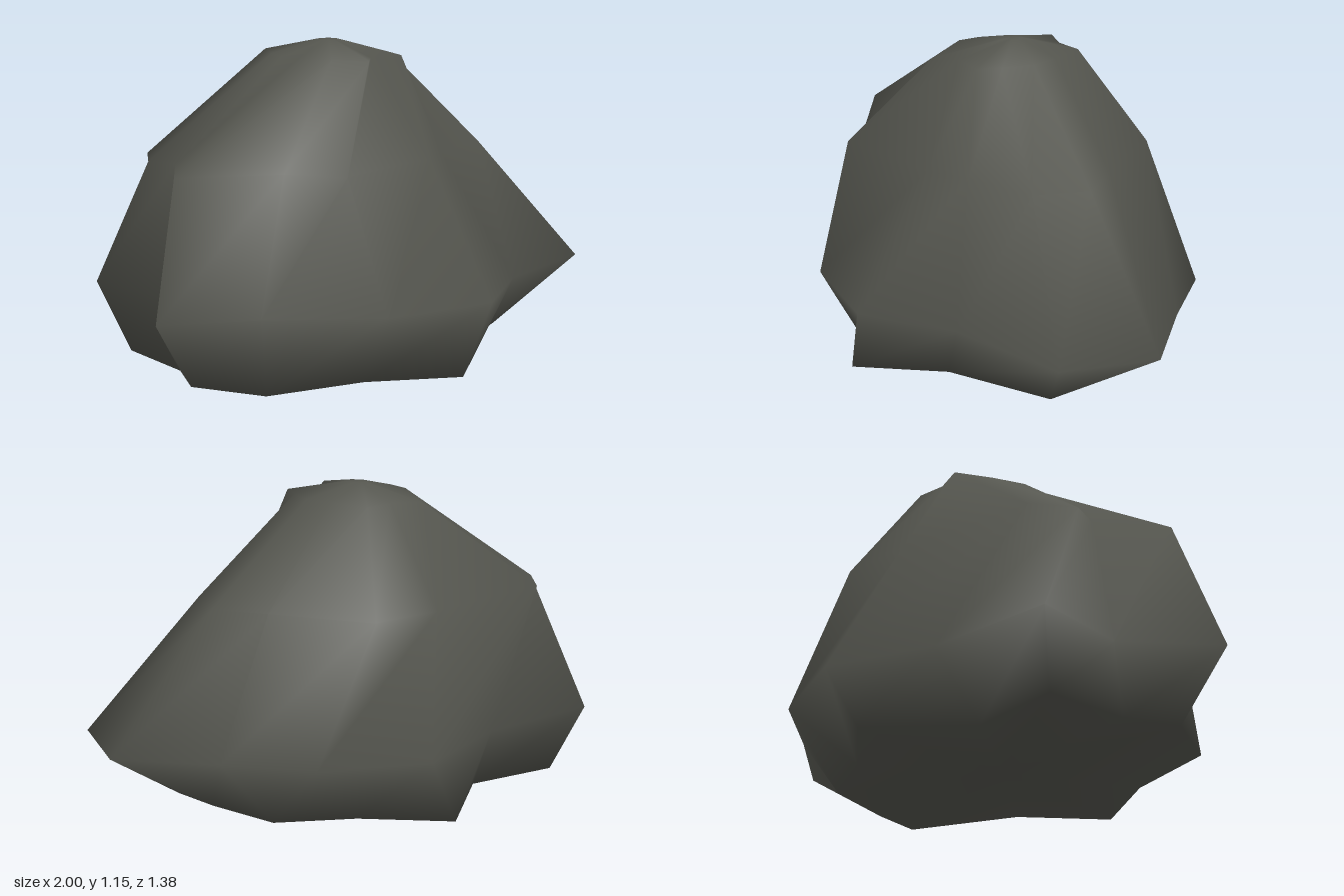
import * as THREE from 'three';

// Each level: height, then [x, z] corners going round from +x towards +z
const levels = [
  { y: 0, pts: [[0.58, 0], [0.61, 0.19], [0.22, 0.38], [-0.01, 0.66], [-0.32, 0.48], [-0.69, 0.39], [-0.82, 0.13],
    [-0.73, -0.06], [-0.71, -0.4], [-0.35, -0.37], [-0.04, -0.65], [0.23, -0.42], [0.5, -0.28]] },
  { y: 0.26, pts: [[1, 0], [0.9, 0.35], [0.43, 0.47], [0.1, 0.69], [-0.33, 0.62], [-0.68, 0.35], [-1, 0.18],
    [-0.75, -0.12], [-0.79, -0.5], [-0.3, -0.53], [0.1, -0.69], [0.49, -0.54], [0.72, -0.28]] },
  { y: 0.74, pts: [[0.57, 0], [0.5, 0.2], [0.22, 0.29], [0.08, 0.38], [-0.38, 0.46], [-0.52, 0.28], [-0.85, 0.09],
    [-0.68, -0.14], [-0.72, -0.25], [-0.62, -0.4], [-0.07, -0.49], [0.21, -0.5], [0.44, -0.17]] },
  { y: 1.1, pts: [[0.17, -0.02], [0.14, 0.1], [0.11, 0.19], [-0.03, 0.18], [-0.1, 0.25], [-0.18, 0.14], [-0.26, 0.04],
    [-0.26, -0.05], [-0.21, -0.17], [-0.14, -0.3], [-0.03, -0.26], [0.08, -0.27], [0.14, -0.13]] },
];

export function createModel() {
  const group = new THREE.Group();
  group.name = 'boulder';
  const stone = new THREE.MeshStandardMaterial({ color: 0x55564f });
  stone.name = 'dark grey stone';

  const n = levels[0].pts.length;
  const positions = [];
  const indices = [];
  for (const { y, pts } of levels) for (const [x, z] of pts) positions.push(x, y, z);

  // Small worn crown above the top level
  for (const [x, z] of levels[3].pts) positions.push(-0.035 + (x + 0.045) * 0.17, 1.15, -0.05 + (z + 0.025) * 0.15);

  // Skin between neighbouring levels
  for (let k = 0; k < levels.length; k++) {
    for (let i = 0; i < n; i++) {
      const j = (i + 1) % n;
      const a = k * n + i, b = k * n + j, c = a + n, d = b + n;
      indices.push(a, c, b, b, c, d);
    }
  }

  // Close the underside and the crown
  const bottom = positions.length / 3;
  positions.push(-0.08, 0, 0, -0.035, 1.15, -0.05);
  const crown = levels.length * n;
  for (let i = 0; i < n; i++) {
    const j = (i + 1) % n;
    indices.push(bottom, i, j, bottom + 1, crown + j, crown + i);
  }

  const geometry = new THREE.BufferGeometry();
  geometry.setAttribute('position', new THREE.Float32BufferAttribute(positions, 3));
  geometry.setIndex(indices);
  geometry.computeVertexNormals();

  const rock = new THREE.Mesh(geometry, stone);
  rock.name = 'rock';
  group.add(rock);
  return group;
}
